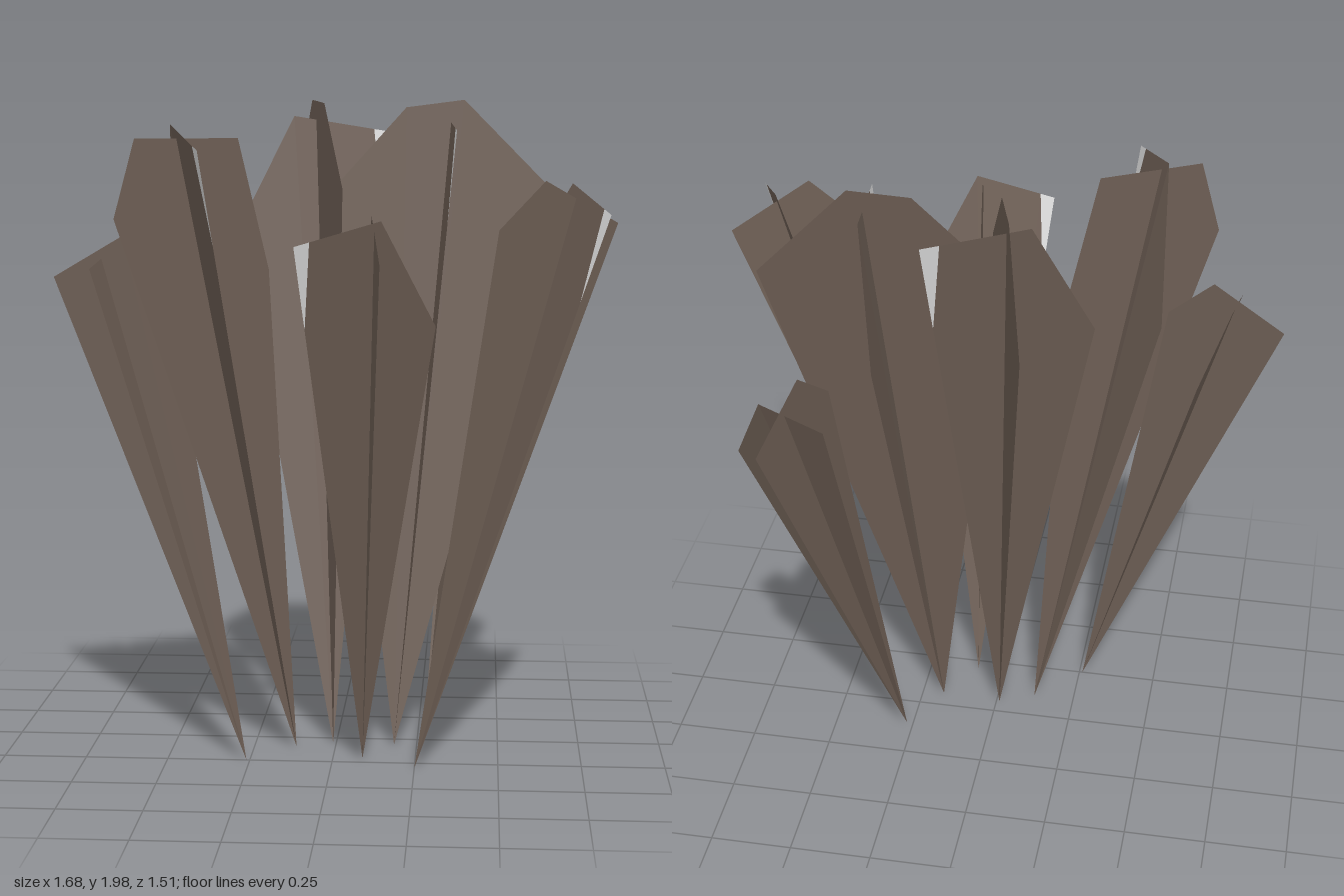
import * as THREE from 'three';

const brown = new THREE.MeshStandardMaterial({ color: 0x6d5e54, side: THREE.DoubleSide });
brown.name = 'brown';
const pale = new THREE.MeshStandardMaterial({ color: 0xdcdcdc, side: THREE.DoubleSide });
pale.name = 'pale tip';

// Fin outlines from the foot: [along the fin axis, sideways], in units of the axis length
const shortFin = [[0, 0], [0.956, 0.149], [1, 0], [0.908, -0.064], [0.703, -0.023]];
const tallFin = [[0, 0], [0.88, 0.149], [1, 0], [0.978, -0.088], [0.83, -0.195]];
const wideFin = [[0, 0], [0.71, 0], [0.895, 0.063], [1, 0], [0.956, -0.159], [0.75, -0.155]];

// Each spike: foot (x, z), outer blade (corner, peak, low corner), and the crossing fin's
// peak, heading in degrees and outline; paleTip marks a light blade corner.
const spikes = [
  { foot: [-0.26, 0.25], finPeak: [-0.63, 1.6, 0.17], heading: 190, fin: shortFin,
    blade: [[-0.71, 1.51, 0.29], [-0.69, 1.54, 0.1], [-0.61, 1.35, -0.02]] },
  { foot: [-0.12, 0.1], finPeak: [-0.56, 1.89, 0.37], heading: 152, fin: wideFin,
    blade: [[-0.36, 1.86, 0.52], [-0.47, 1.93, 0.27], [-0.49, 1.5, 0.06]], paleTip: true },
  { foot: [-0.01, 0.05], finPeak: [-0.1, 2, -0.32], heading: 254, fin: tallFin,
    blade: [[0.15, 1.9, -0.32], [-0.15, 1.95, -0.24], [-0.32, 1.6, -0.15]], paleTip: true },
  { foot: [0.18, 0.06], finPeak: [0.38, 2, -0.2], heading: -9, fin: tallFin,
    blade: [[0.36, 1.91, 0.03], [0.33, 1.94, -0.28], [0.27, 1.55, -0.43]], paleTip: true },
  { foot: [0.27, -0.11], finPeak: [0.45, 1.59, -0.55], heading: -70, fin: shortFin,
    blade: [[0.36, 1.48, -0.64], [0.55, 1.53, -0.6], [0.65, 1.3, -0.5]] },
  { foot: [0.25, 0.3], finPeak: [0.62, 1.77, 0.29], heading: -27, fin: shortFin,
    blade: [[0.8, 1.68, 0.43], [0.7, 1.76, 0.2], [0.53, 1.45, 0.05]], paleTip: true },
  { foot: [0.09, 0.21], finPeak: [0.13, 1.68, 0.53], heading: 82, fin: shortFin,
    blade: [[-0.08, 1.6, 0.64], [0.16, 1.67, 0.61], [0.31, 1.37, 0.51]], paleTip: true },
];

// Thin sheet: a fan of flat triangles around its first point
function sheet(name, points, material) {
  const corners = [];
  for (let i = 1; i < points.length - 1; i++) corners.push(points[0], points[i], points[i + 1]);
  const geometry = new THREE.BufferGeometry().setFromPoints(corners);
  geometry.computeVertexNormals();
  const mesh = new THREE.Mesh(geometry, material);
  mesh.name = name;
  return mesh;
}

// Outer blade, with a pale corner where it has one
function addBlade(spike, s, foot) {
  const [corner, peak, low] = s.blade.map((p) => new THREE.Vector3(...p));
  const top = [corner];
  if (s.paleTip) {
    top[0] = corner.clone().lerp(foot, 0.15);
    top.push(corner.clone().lerp(peak, 0.18));
    spike.add(sheet('paleCorner', [top[0], corner, top[1]], pale));
  }
  spike.add(sheet('outerBlade', [foot, ...top, peak, low], brown));
}

// Crossing fin: its outline laid along the line from foot to peak
function addFin(spike, s, foot) {
  const axis = new THREE.Vector3(...s.finPeak).sub(foot);
  const a = THREE.MathUtils.degToRad(s.heading);
  const side = new THREE.Vector3(Math.cos(a), 0, Math.sin(a))
    .projectOnPlane(axis).setLength(axis.length());
  const points = s.fin.map(([t, w]) =>
    foot.clone().addScaledVector(axis, t).addScaledVector(side, w));
  spike.add(sheet('crossFin', points, brown));
}

export function createModel() {
  const model = new THREE.Group();
  model.name = 'spikeCluster';
  for (const s of spikes) {
    const spike = new THREE.Group();
    spike.name = 'spike';
    const foot = new THREE.Vector3(s.foot[0], 0.02, s.foot[1]);
    addBlade(spike, s, foot);
    addFin(spike, s, foot);
    model.add(spike);
  }
  return model;
}
